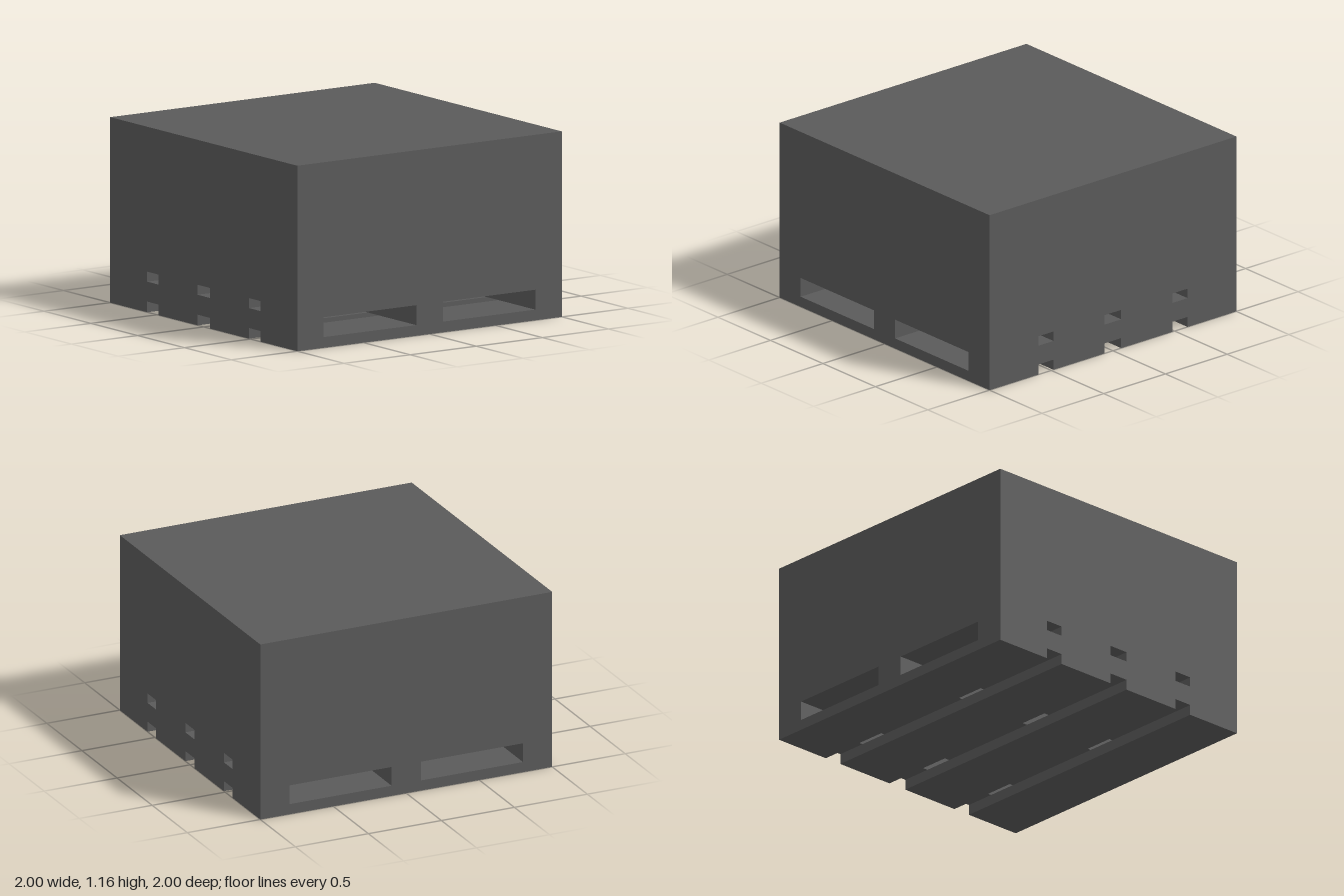
import * as THREE from 'three';

const material = new THREE.MeshStandardMaterial({ color: 0x5a5a5a, flatShading: true });

// Box given by its extents along each axis
function block(name, [x0, x1], [y0, y1], [z0, z1]) {
  const mesh = new THREE.Mesh(new THREE.BoxGeometry(x1 - x0, y1 - y0, z1 - z0), material);
  mesh.name = name;
  mesh.position.set((x0 + x1) / 2, (y0 + y1) / 2, (z0 + z1) / 2);
  return mesh;
}

export function createModel() {
  const model = new THREE.Group();
  model.name = 'loadedPallet';

  const full = [-1, 1];
  const bottomLayer = [0, 0.067];
  const stringerLayer = [0.067, 0.192];
  const topLayer = [0.192, 0.255];

  const pallet = new THREE.Group();
  pallet.name = 'pallet';
  model.add(pallet);

  // Deck boards run across, with three gaps between them
  const boards = [[-1, -0.605], [-0.482, -0.067], [0.067, 0.482], [0.605, 1]];
  for (const z of boards) {
    pallet.add(block('bottomBoard', full, bottomLayer, z));
    pallet.add(block('topBoard', full, topLayer, z));
  }

  // Stringers run front to back, leaving two fork openings
  for (const x of [[-1, -0.8], [-0.1, 0.1], [0.8, 1]]) {
    pallet.add(block('stringer', x, stringerLayer, full));
  }

  // Cargo box resting on the deck
  model.add(block('cargoBox', full, [0.255, 1.165], full));

  return model;
}
